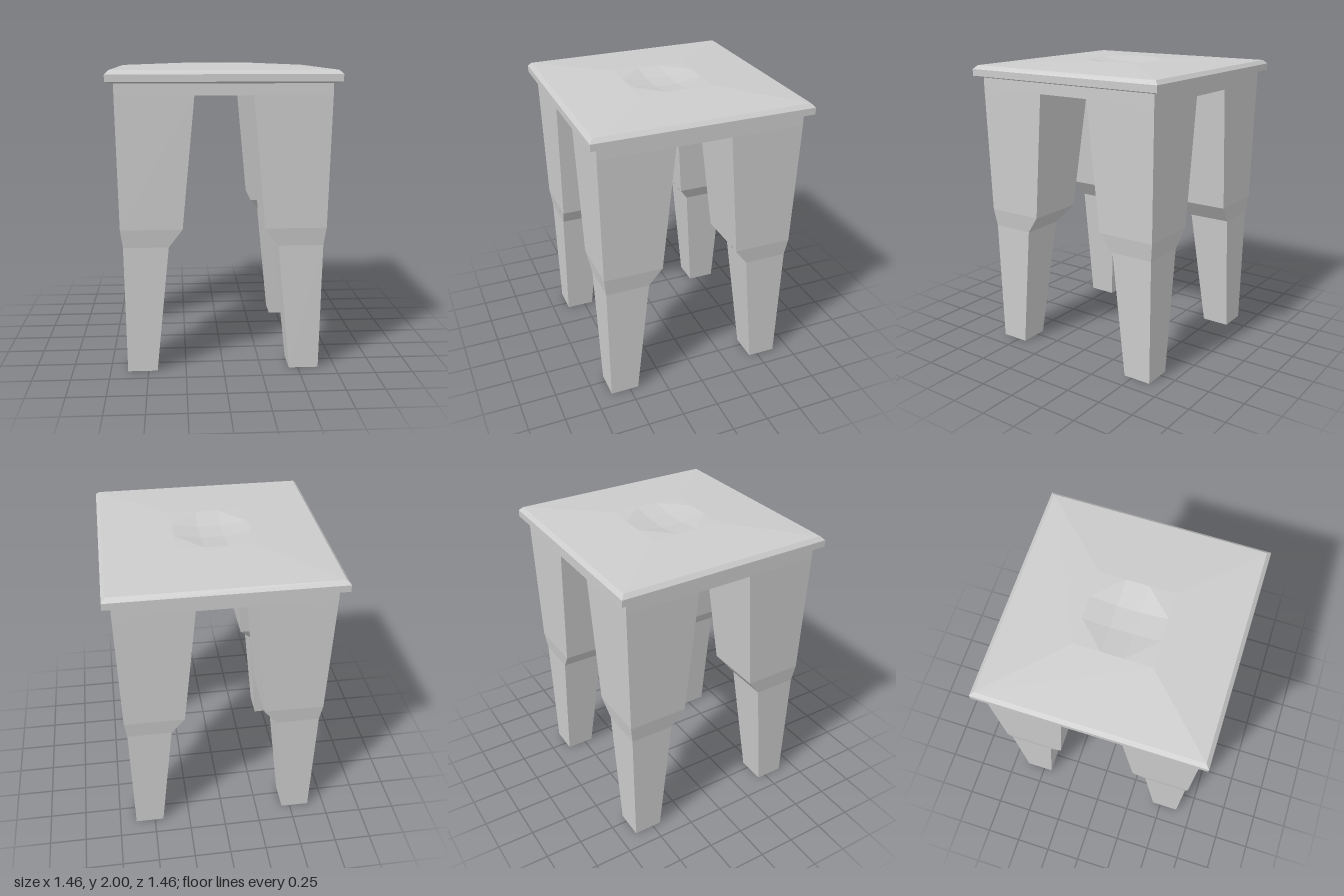
import * as THREE from 'three';

const material = new THREE.MeshStandardMaterial({ color: 0xcccccc, flatShading: true });

// Mesh from convex polygons, each a list of [x, y, z] corners
function polyMesh(name, polygons) {
  const positions = [];
  for (const p of polygons) {
    for (let i = 1; i < p.length - 1; i++) positions.push(...p[0], ...p[i], ...p[i + 1]);
  }
  const geometry = new THREE.BufferGeometry();
  geometry.setAttribute('position', new THREE.Float32BufferAttribute(positions, 3));
  geometry.computeVertexNormals();
  const mesh = new THREE.Mesh(geometry, material);
  mesh.name = name;
  return mesh;
}

// Polygons joining rectangular rings { x: [min, max], z: [min, max], y }, closed underneath
function loft(rings) {
  const loops = rings.map(({ x, z, y }) => [
    [x[0], y, z[1]], [x[1], y, z[1]], [x[1], y, z[0]], [x[0], y, z[0]],
  ]);
  const polygons = [[...loops[0]].reverse()];
  for (let r = 0; r < loops.length - 1; r++) {
    for (let i = 0; i < 4; i++) {
      const j = (i + 1) % 4;
      polygons.push([loops[r][i], loops[r][j], loops[r + 1][j], loops[r + 1][i]]);
    }
  }
  return polygons;
}

export function createModel() {
  const group = new THREE.Group();

  // Legs: [height, inner edge, outer edge], stepped and tapering to the foot
  const legProfile = [[0, 0.44, 0.635], [0.85, 0.355, 0.648], [0.97, 0.265, 0.664], [1.82, 0.185, 0.68]];
  const span = (sign, a, b) => (sign > 0 ? [a, b] : [-b, -a]);
  for (const sz of [1, -1]) {
    for (const sx of [1, -1]) {
      const rings = legProfile.map(([y, a, b]) => ({ x: span(sx, a, b), z: span(sz, a, b), y }));
      group.add(polyMesh(`${sz > 0 ? 'front' : 'back'}${sx > 0 ? 'Left' : 'Right'}Leg`, loft(rings)));
    }
  }

  // Frame block joining the legs
  const frame = new THREE.Mesh(new THREE.BoxGeometry(1.36, 0.08, 1.36), material);
  frame.name = 'frame';
  frame.position.y = 1.86;
  group.add(frame);

  // Seat: bevelled slab rising gently to a raised middle
  const o = 0.25, a = 0.075, top = 2, low = 1.975;
  const seatProfile = [[1.893, 0.685], [1.905, 0.73], [1.95, 0.73], [1.975, 0.705], [top, o]];
  const seat = loft(seatProfile.map(([y, h]) => ({ x: [-h, h], z: [-h, h], y })));

  // Shallow octagonal hollow in the middle of the seat
  seat.push([[-a, low, -a], [-a, low, a], [a, low, a], [a, low, -a]]);
  const quarter = [
    [[o, top, o], [o, top, a], [a, top, o]],
    [[a, low, a], [a, top, o], [o, top, a]],
    [[a, low, -a], [a, low, a], [o, top, a], [o, top, -a]],
  ];
  for (let k = 0; k < 4; k++) {
    for (const face of quarter) {
      seat.push(face.map(([x, y, z]) => {
        for (let i = 0; i < k; i++) [x, z] = [z, -x];
        return [x, y, z];
      }));
    }
  }
  group.add(polyMesh('seat', seat));

  return group;
}
